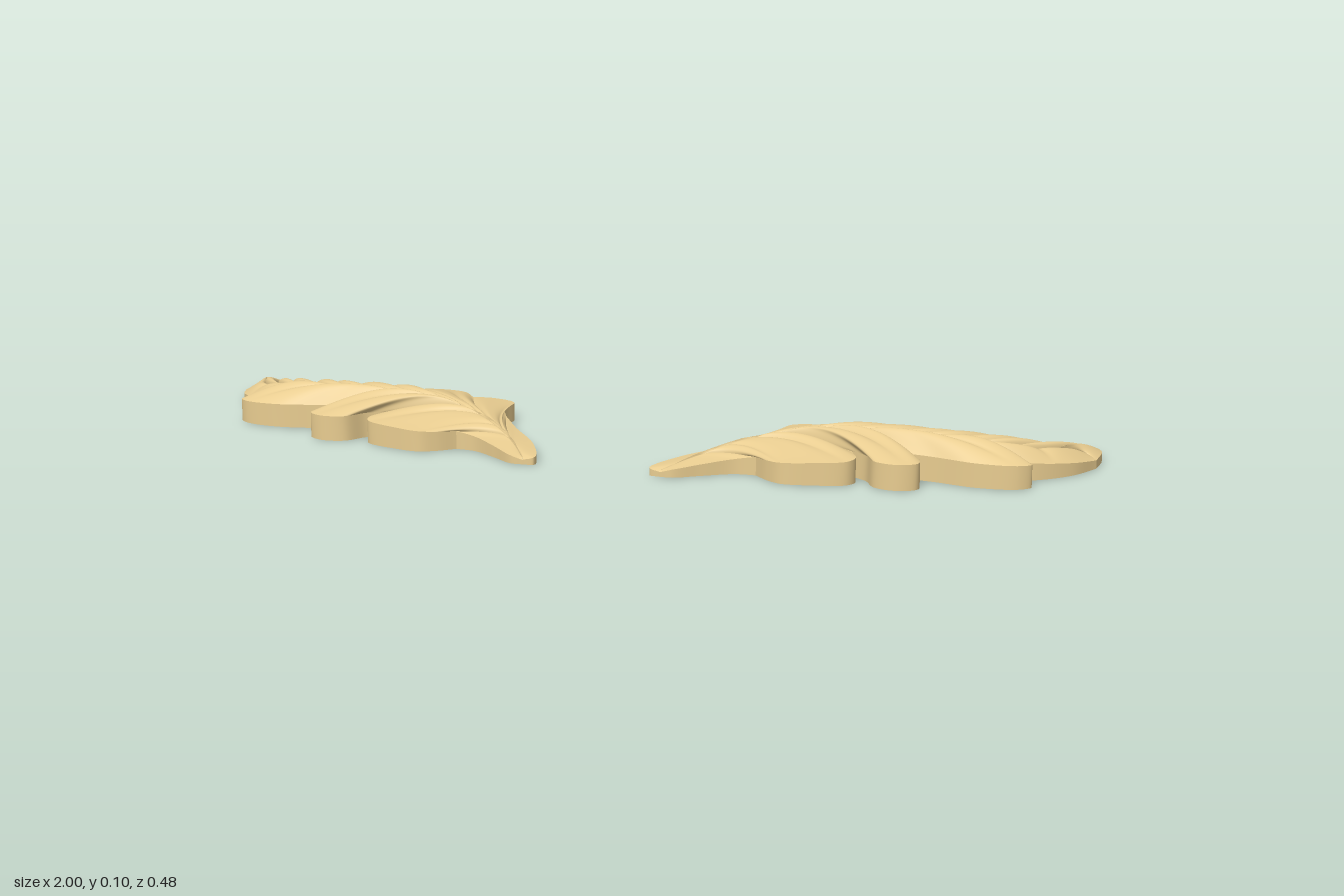
import * as THREE from 'three';

const material = new THREE.MeshStandardMaterial({ color: 0xe8cc90, side: THREE.DoubleSide });

// midrib in plan (x, z) and its height at each point
const SPINE = [[0.155, 0.232], [0.21, 0.16], [0.29, 0.095], [0.4, 0.05], [0.53, 0.035],
  [0.66, 0.03], [0.79, 0.01], [0.89, -0.05], [0.955, -0.15]];
const RIB = [0.012, 0.036, 0.062, 0.078, 0.08, 0.074, 0.062, 0.046, 0.03];

// Lobes from root to tip: name, span of the midrib they grow from,
// edge heights at start and end, number of veins, outline points (x, z)
const BACK = [
  ['stemBack', 0, 0.6, 0.01, 0.035, 1, [[0.155, 0.237], [0.13, 0.232], [0.168, 0.14], [0.245, 0.045], [0.3, -0.03]]],
  ['firstBackLobe', 0.6, 1.4, 0.035, 0.045, 2, [[0.3, -0.03], [0.322, -0.08], [0.325, -0.14], [0.38, -0.155], [0.425, -0.14]]],
  ['secondBackLobe', 1.4, 2.7, 0.045, 0.05, 3, [[0.425, -0.14], [0.465, -0.178], [0.55, -0.172], [0.585, -0.13], [0.575, -0.07]]],
  ['thirdBackLobe', 2.7, 4, 0.05, 0.04, 2, [[0.575, -0.07], [0.61, -0.145], [0.65, -0.14], [0.7, -0.168], [0.735, -0.125]]],
  ['fourthBackLobe', 4, 5, 0.04, 0.035, 2, [[0.735, -0.125], [0.76, -0.17], [0.8, -0.186], [0.83, -0.155]]],
  ['fifthBackLobe', 5, 6, 0.035, 0.028, 2, [[0.83, -0.155], [0.865, -0.19], [0.9, -0.187], [0.925, -0.168]]],
  ['tipBack', 6, 8, 0.028, 0.018, 2, [[0.925, -0.168], [0.94, -0.215], [0.968, -0.24], [0.996, -0.215], [1, -0.14]]],
];
const FRONT = [
  ['stemFront', 0, 0.9, 0.01, 0.04, 1, [[0.155, 0.237], [0.182, 0.236], [0.235, 0.2], [0.295, 0.163], [0.34, 0.158]]],
  ['firstFrontLobe', 0.9, 2.2, 0.04, 0.055, 3, [[0.34, 0.158], [0.375, 0.19], [0.41, 0.208], [0.47, 0.2], [0.54, 0.175], [0.552, 0.145], [0.53, 0.1]]],
  ['secondFrontLobe', 2.2, 3.6, 0.055, 0.055, 2, [[0.53, 0.1], [0.568, 0.125], [0.6, 0.172], [0.65, 0.183], [0.687, 0.16], [0.68, 0.122], [0.645, 0.11], [0.62, 0.078]]],
  ['longFrontLobe', 3.6, 5.6, 0.055, 0.045, 2, [[0.62, 0.078], [0.7, 0.085], [0.8, 0.103], [0.88, 0.09], [0.905, 0.062], [0.88, 0.045], [0.82, 0.035]]],
  ['tipFront', 5.6, 8, 0.045, 0.018, 2, [[0.82, 0.035], [0.9, 0], [0.965, -0.065], [1, -0.14]]],
];

const planCurve = (pts) => new THREE.CatmullRomCurve3(pts.map(([x, z]) => new THREE.Vector3(x, 0, z)));
const spine = planCurve(SPINE);

function ribHeight(u) {
  const i = Math.min(Math.floor(u), RIB.length - 2);
  return THREE.MathUtils.lerp(RIB[i], RIB[i + 1], u - i);
}

// Grid surface from a point rule; flip reverses the facing
function gridGeometry(nt, ns, point, flip) {
  const pos = [], index = [];
  for (let i = 0; i <= nt; i++) for (let j = 0; j <= ns; j++) pos.push(...point(i / nt, j / ns));
  for (let i = 0; i < nt; i++) for (let j = 0; j < ns; j++) {
    const a = i * (ns + 1) + j, b = a + ns + 1;
    if (flip) index.push(a, a + 1, b, b, a + 1, b + 1);
    else index.push(a, b, a + 1, b, b + 1, a + 1);
  }
  const g = new THREE.BufferGeometry();
  g.setAttribute('position', new THREE.Float32BufferAttribute(pos, 3));
  g.setIndex(index);
  g.computeVertexNormals();
  return g;
}

// One lobe: veins sweep from the midrib out to the outline, with a wall down to the ground
function makeLobe([name, u0, u1, e0, e1, veins, pts], front, mirror) {
  const outline = planCurve(pts);
  const stem = name.startsWith('stem');
  const surface = (f, s) => {
    const u = THREE.MathUtils.lerp(u0, u1, f);
    const root = spine.getPoint(u / 8), tan = spine.getTangent(u / 8), end = outline.getPoint(f);
    const ctrl = root.clone().addScaledVector(tan, 0.45 * root.distanceTo(end));
    const p = new THREE.QuadraticBezierCurve3(root, ctrl, end).getPoint(s);
    const rib = ribHeight(u), edge = THREE.MathUtils.lerp(e0, e1, f);
    const size = Math.min(1, rib / 0.07), swell = Math.sin(Math.PI * s);
    const notch = Math.abs(2 * f - 1) ** 4;
    let y = THREE.MathUtils.lerp(rib, edge, s ** (front ? 2.8 : 1.9));
    y += swell * size * (stem ? 0.012 : 0.022 - 0.012 * notch);
    // vein grooves, and the groove beside the midrib
    y -= (1 - Math.abs(Math.sin(Math.PI * f * veins))) ** 2 * swell * size * (stem ? 0.004 : 0.01);
    y -= 0.008 * size * Math.exp(-(((s - 0.13) / 0.07) ** 2));
    return [p.x * mirror, Math.max(y, 0.004), p.z];
  };
  const wall = (f, s) => {
    const [x, y, z] = surface(f, 1);
    return [x, y * (1 - s), z];
  };
  const flip = front !== (mirror < 0);
  const lobe = new THREE.Group();
  lobe.name = name;
  const top = new THREE.Mesh(gridGeometry(40, 20, surface, flip), material);
  top.name = name + 'Top';
  const side = new THREE.Mesh(gridGeometry(40, 1, wall, flip), material);
  side.name = name + 'Wall';
  lobe.add(top, side);
  return lobe;
}

export function createModel() {
  const model = new THREE.Group();
  model.name = 'leafOrnaments';
  for (const mirror of [1, -1]) {
    const leaf = new THREE.Group();
    leaf.name = mirror > 0 ? 'leftLeaf' : 'rightLeaf';
    for (const l of BACK) leaf.add(makeLobe(l, false, mirror));
    for (const l of FRONT) leaf.add(makeLobe(l, true, mirror));
    model.add(leaf);
  }
  return model;
}
